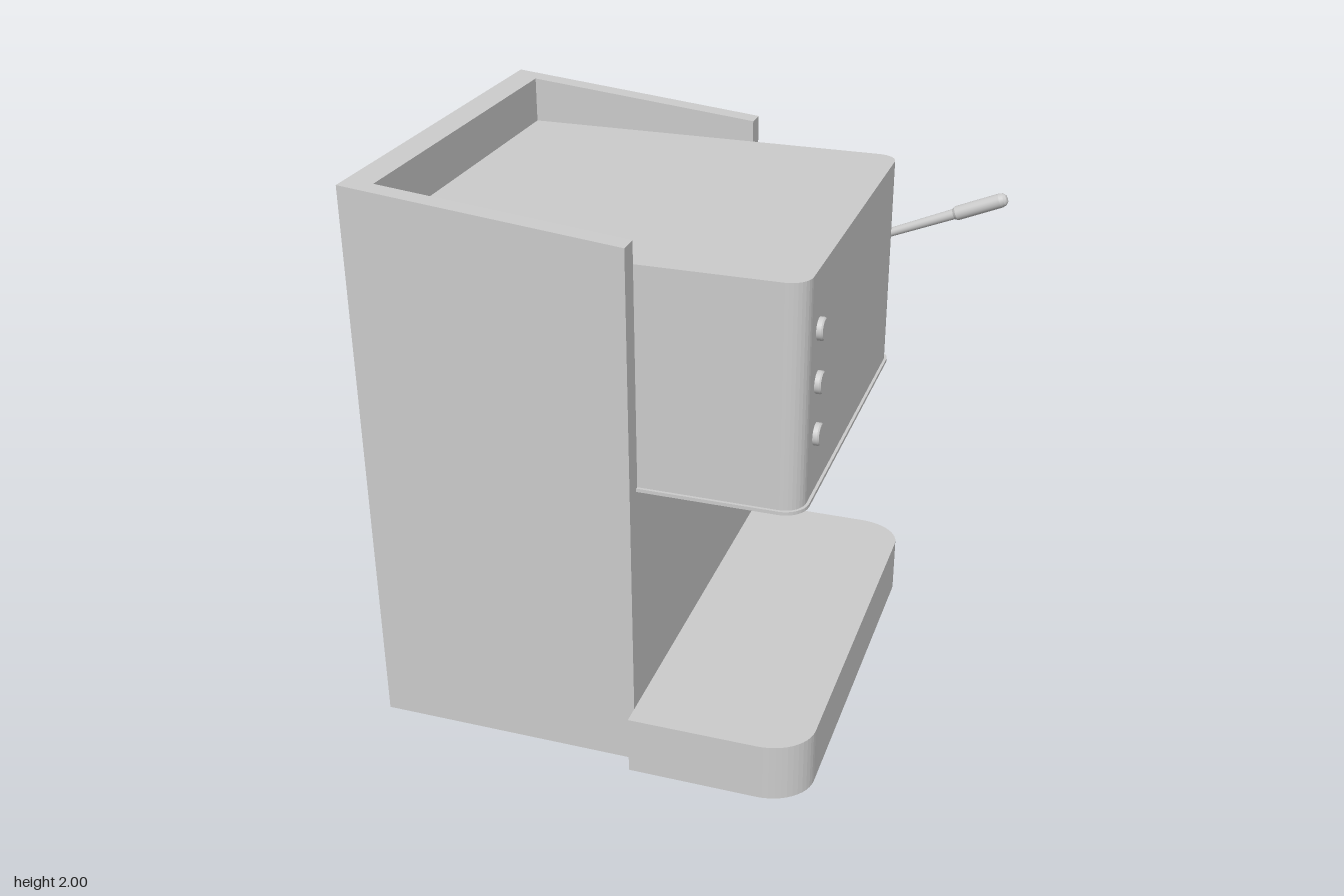
import * as THREE from 'three';

const mat = new THREE.MeshStandardMaterial({ color: 0xcccccc });

export function createModel() {
  const root = new THREE.Group();
  const add = (name, geo, x = 0, y = 0, z = 0) => {
    const m = new THREE.Mesh(geo, mat);
    m.name = name;
    m.position.set(x, y, z);
    root.add(m);
    return m;
  };
  // Upright prism from a plan outline
  const prism = (shape, height, curveSegments = 4) =>
    new THREE.ExtrudeGeometry(shape, { depth: height, bevelEnabled: false, curveSegments }).rotateX(-Math.PI / 2);
  // Plan outline with square back corners and rounded front corners
  const plan = (x0, x1, w, rx, rz) => {
    const s = new THREE.Shape();
    s.moveTo(x0, -w);
    s.lineTo(x1 - rx, -w);
    s.absellipse(x1 - rx, -w + rz, rx, rz, -Math.PI / 2, 0);
    s.lineTo(x1, w - rz);
    s.absellipse(x1 - rx, w - rz, rx, rz, 0, Math.PI / 2);
    s.lineTo(x0, w);
    s.closePath();
    return s;
  };
  const lathe = (pts, seg = 40) => {
    const g = [];
    // Repeated points keep the profile edges crisp
    pts.forEach(([r, y], i) => {
      g.push(new THREE.Vector2(r, y));
      if (i > 0 && i < pts.length - 1) g.push(new THREE.Vector2(r, y));
    });
    return new THREE.LatheGeometry(g, seg);
  };

  // Housing: U-shaped walls whose top slopes down to the front
  const u = new THREE.Shape([
    [-0.94, -0.705], [0, -0.705], [0, -0.635], [-0.85, -0.635],
    [-0.85, 0.635], [0, 0.635], [0, 0.705], [-0.94, 0.705],
  ].map(([x, y]) => new THREE.Vector2(x, y)));
  const shell = prism(u, 1.97);
  const p = shell.attributes.position;
  for (let i = 0; i < p.count; i++) {
    if (p.getY(i) > 1) p.setY(i, 1.97 - 0.1 * (p.getX(i) + 0.94));
  }
  shell.computeVertexNormals();
  add('housingWalls', shell, 0, 0.03, 0);
  add('housingCore', new THREE.BoxGeometry(0.85, 1.1, 1.27), -0.425, 0.58, 0);

  // Brewing head with a thin lip along its lower edge
  add('head', prism(plan(-0.85, 0.54, 0.635, 0.07, 0.07), 0.768), 0, 1.062, 0);
  add('headLip', prism(plan(0, 0.55, 0.645, 0.08, 0.08), 0.012), 0, 1.054, 0);

  // Drip tray
  add('dripTray', prism(plan(0, 0.615, 0.768, 0.165, 0.14), 0.21, 6), 0, 0.03, 0);

  // Brew group: stepped rings and two spouts
  add('brewGroup', lathe([
    [0, 0.9], [0.115, 0.9], [0.12, 0.905], [0.12, 0.98], [0.19, 0.98],
    [0.2, 0.99], [0.2, 1.045], [0.215, 1.048], [0.215, 1.056], [0, 1.056],
  ]), 0.28, 0, 0);
  for (const z of [-0.045, 0.045]) {
    add('spout', new THREE.CylinderGeometry(0.025, 0.025, 0.09, 20), 0.285, 0.865, z);
  }

  // Front buttons
  for (const y of [1.27, 1.45, 1.63]) {
    add('button', lathe([
      [0.037, -0.01], [0.037, 0.015], [0.033, 0.02], [0, 0.02],
    ], 28).rotateZ(-Math.PI / 2), 0.54, y, 0.48);
  }

  // Steam knob on the side
  add('steamKnob', new THREE.CylinderGeometry(0.12, 0.107, 0.112, 40).rotateX(Math.PI / 2), 0.265, 1.415, -0.69);

  // Lever: collar, slim rod and rounded grip, built upright then tilted
  const lever = new THREE.Group();
  lever.name = 'lever';
  const part = (name, geo) => {
    const m = new THREE.Mesh(geo, mat);
    m.name = name;
    lever.add(m);
  };
  part('leverCollar', lathe([[0.033, -0.03], [0.033, 0.012], [0.026, 0.025], [0, 0.025]], 24));
  part('leverRod', new THREE.CylinderGeometry(0.019, 0.014, 0.42, 20).translate(0, 0.21, 0));
  part('leverGrip', lathe([
    [0, 0.41], [0.02, 0.41], [0.026, 0.42], [0.026, 0.585], [0.023, 0.6], [0.014, 0.609], [0, 0.611],
  ], 24));
  lever.position.set(0.365, 1.456, -0.692);
  lever.rotation.z = -Math.PI / 2 + 0.4;
  root.add(lever);

  // Feet
  for (const s of [-1, 1]) {
    for (const [x, z] of [[-0.815, 0.57], [0.493, 0.615]]) {
      add('foot', new THREE.CylinderGeometry(0.063, 0.063, 0.034, 28), x, 0.017, s * z);
    }
  }
  return root;
}
